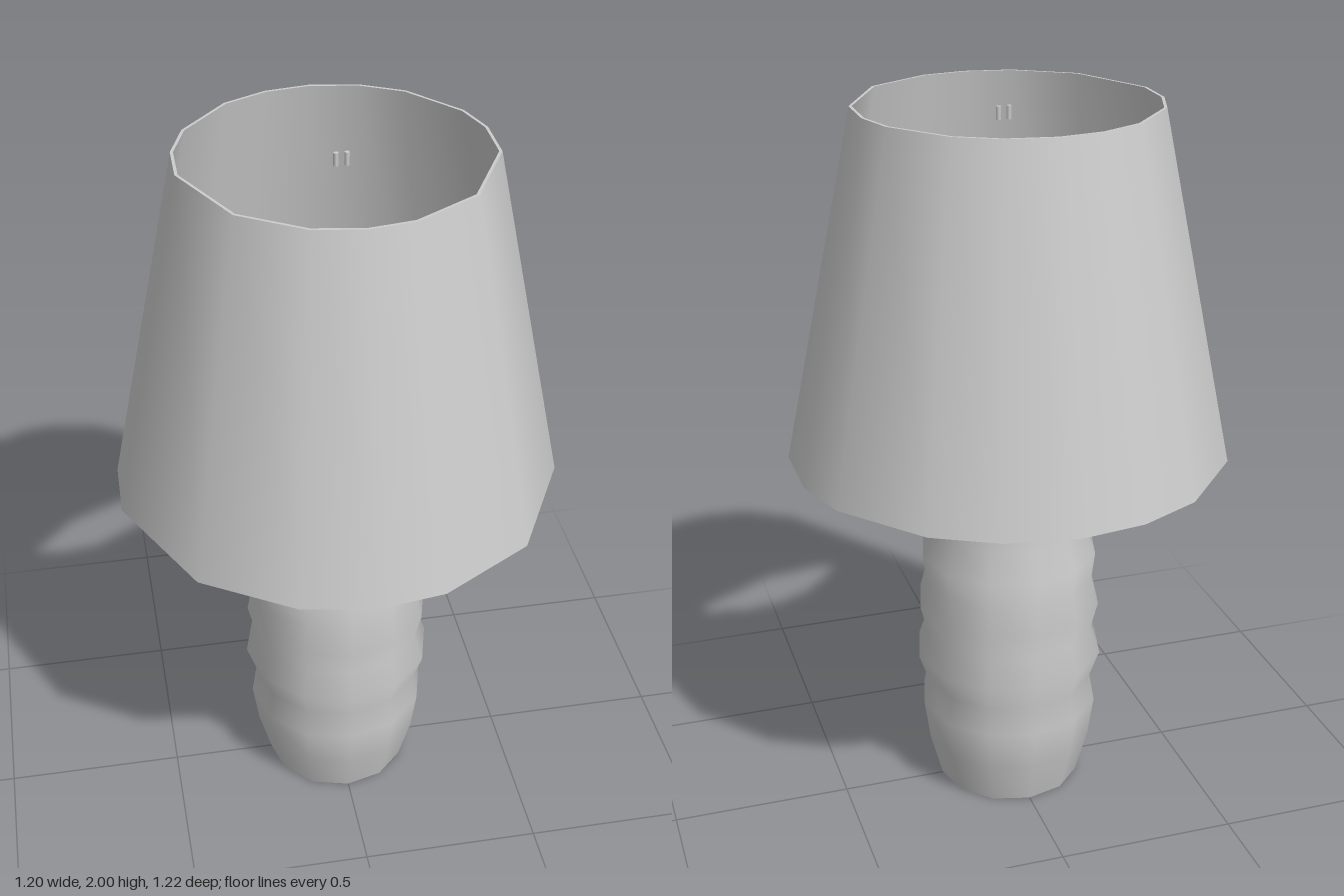
import * as THREE from 'three';

const rad = THREE.MathUtils.degToRad;

// Surface of revolution whose columns sit at the given angles (degrees from +z towards +x)
function turned(profile, angles) {
  const pts = profile.map(([r, y]) => new THREE.Vector2(r, y));
  const n = angles.length - 1;
  const geo = new THREE.LatheGeometry(pts, n);
  const v = new THREE.Vector3();
  const up = new THREE.Vector3(0, 1, 0);
  for (let i = 0; i <= n; i++) {
    const shift = rad(angles[i]) - (i / n) * Math.PI * 2;
    for (let j = 0; j < pts.length; j++) {
      const k = i * pts.length + j;
      for (const attr of [geo.attributes.position, geo.attributes.normal]) {
        v.fromBufferAttribute(attr, k).applyAxisAngle(up, shift);
        attr.setXYZ(k, v.x, v.y, v.z);
      }
    }
  }
  return geo;
}

const evenAngles = (n) => Array.from({ length: n + 1 }, (_, i) => (i * 360) / n);

export function createModel() {
  const model = new THREE.Group();
  model.name = 'tableLamp';
  const grey = new THREE.MeshStandardMaterial({ color: 0xcccccc });
  grey.name = 'plainGrey';

  const add = (parent, name, geo) => {
    const mesh = new THREE.Mesh(geo, grey);
    mesh.name = name;
    parent.add(mesh);
    return mesh;
  };

  // Shade: unevenly faceted cone with a thin wall, open at both ends
  const shade = new THREE.Group();
  shade.name = 'shade';
  model.add(shade);
  const shadeAngles = [0, 17, 45, 80, 100, 116, 143, 161, 180, 197, 215, 242, 260, 278, 314, 341, 360];
  const low = 1.04, high = 2, wall = 0.008;
  const rLow = 0.608, rHigh = 0.408;
  add(shade, 'shadeOutside', turned([[rLow, low], [rHigh, high]], shadeAngles));
  add(shade, 'shadeInside', turned([[rHigh - wall, high], [rLow - wall, low]], shadeAngles));
  add(shade, 'shadeTopRim', turned([[rHigh, high], [rHigh - wall, high]], shadeAngles));
  add(shade, 'shadeBottomRim', turned([[rLow - wall, low], [rLow, low]], shadeAngles));

  // Base: ribbed pottery body with flat foot and top
  const base = new THREE.Group();
  base.name = 'base';
  model.add(base);
  const baseAngles = evenAngles(12);
  add(base, 'baseBody', turned([
    [0.205, 0], [0.24, 0.13], [0.257, 0.25], [0.242, 0.33], [0.27, 0.41], [0.243, 0.49],
    [0.263, 0.57], [0.242, 0.65], [0.252, 0.73], [0.217, 0.81], [0.23, 0.88], [0.21, 0.915],
  ], baseAngles));
  add(base, 'baseFoot', turned([[0, 0], [0.205, 0]], baseAngles));
  add(base, 'baseTop', turned([[0.21, 0.915], [0, 0.915]], baseAngles));

  // Stem: five-sided post that narrows to a neck
  add(model, 'stem', turned([
    [0.045, 0.91], [0.045, 1.12], [0.022, 1.17], [0.02, 1.2], [0, 1.2],
  ], evenAngles(5)));

  // Pair of thin prongs spreading from the neck, and two small pins near the shade top
  for (const side of [-1, 1]) {
    const curve = new THREE.LineCurve3(
      new THREE.Vector3(side * 0.008, 1.19, 0),
      new THREE.Vector3(side * 0.04, 1.31, 0),
    );
    add(model, 'prong', new THREE.TubeGeometry(curve, 1, 0.006, 5));
    const pin = add(model, 'pin', new THREE.CylinderGeometry(0.007, 0.007, 0.035, 6));
    pin.position.set(0.015 + side * 0.014, 1.975, -0.01);
  }

  return model;
}
